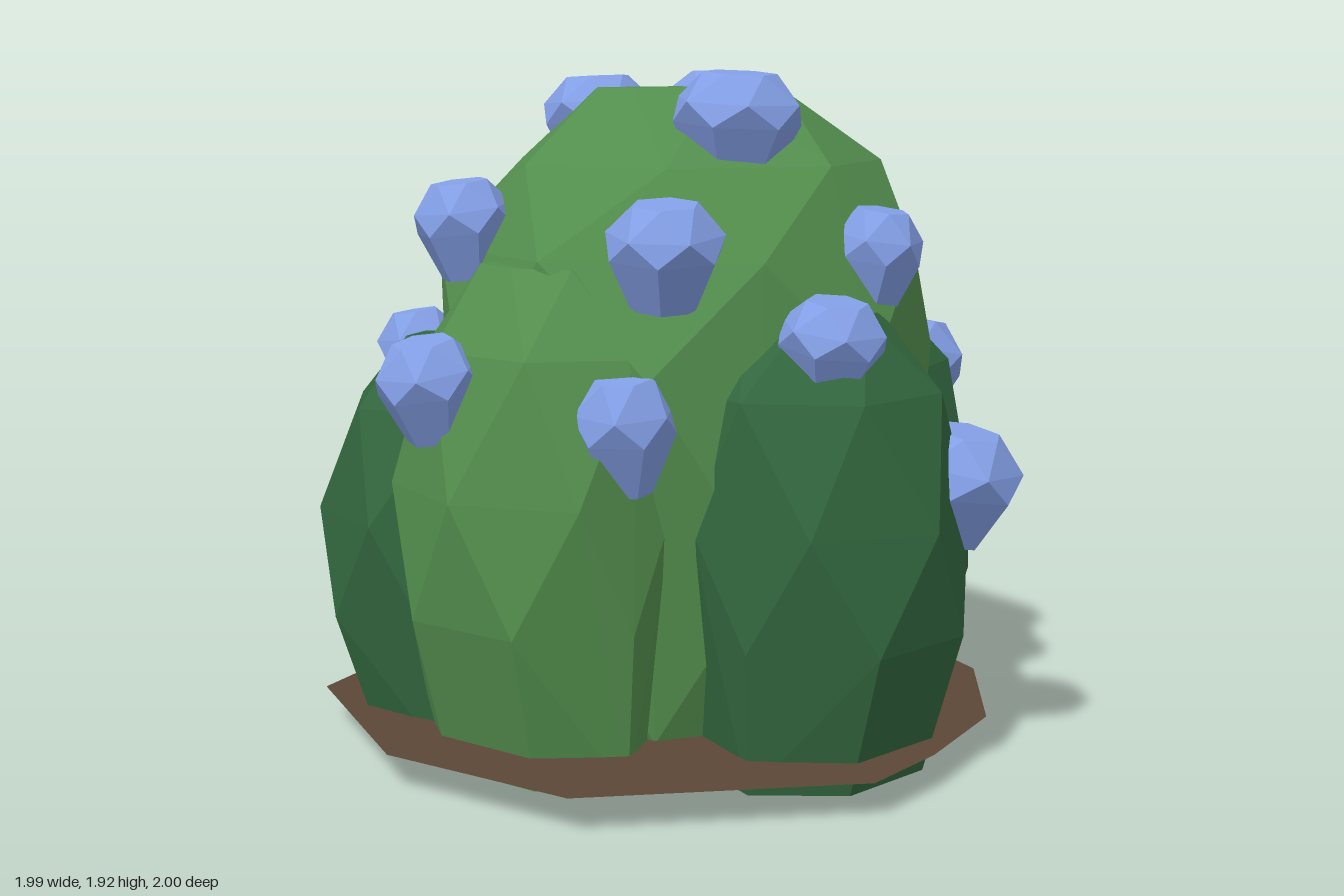
import * as THREE from 'three';
import { ConvexGeometry } from 'three/addons/geometries/ConvexGeometry.js';

const mat = (name, color) => {
  const m = new THREE.MeshStandardMaterial({ color });
  m.name = name;
  return m;
};

// Faceted solid from elliptical rings: [y, centreX, centreZ, radiusX, radiusZ, turn in steps]
function facetedSolid(rings, sides) {
  const points = [];
  for (const [y, cx, cz, rx, rz, turn] of rings) {
    for (let i = 0; i < sides; i++) {
      const a = ((i + turn) / sides) * Math.PI * 2;
      points.push(new THREE.Vector3(cx + rx * Math.cos(a), y, cz + rz * Math.sin(a)));
    }
  }
  return new ConvexGeometry(points);
}

// Side lobe growing along local +x: height, outer reach and half width
function lobeGeometry(h, reach, w) {
  const ring = (y, inner, outer, half, turn) => {
    const c = (inner + outer) / 2;
    const flat = turn ? 1.06 : 1;
    return [y, c, 0, (outer - inner) / 2 * flat, half, turn];
  };
  return facetedSolid([
    ring(0.004, 0.34, reach - 0.15, w * 0.84, 0.5),
    ring(0.32 * h, 0.24, reach - 0.03, w * 0.96, 0.5),
    ring(0.57 * h, 0.2, reach, w, 0),
    ring(0.84 * h, 0.22, reach - 0.11, w * 0.88, 0.5),
    ring(h, 0.34, reach - 0.26, w * 0.48, 0),
  ], 7);
}

export function createModel() {
  const model = new THREE.Group();
  model.name = 'berryBush';
  const lightLeaf = mat('light leaf green', 0x538e4d);
  const darkLeaf = mat('dark leaf green', 0x32673e);
  const berryBlue = mat('berry blue', 0x839fe6);
  const soil = mat('soil brown', 0x5c4736);

  const add = (name, geometry, material) => {
    const mesh = new THREE.Mesh(geometry, material);
    mesh.name = name;
    model.add(mesh);
    return mesh;
  };

  // Shallow soil plate with an irregular rim
  const rim = [
    [-0.42, 0.96], [0.38, 0.99], [0.6, 0.8], [0.85, 0.5], [0.97, 0.03], [0.86, -0.42], [0.8, -0.56],
    [0.64, -0.69], [0.2, -0.84], [-0.1, -0.84], [-0.32, -0.79], [-0.62, -0.64], [-0.99, -0.14], [-0.85, 0.53],
  ];
  const soilPoints = [new THREE.Vector3(0, 0.125, 0)];
  for (const [x, z] of rim) {
    soilPoints.push(new THREE.Vector3(x, 0.1, z), new THREE.Vector3(x * 0.56, 0, z * 0.56));
  }
  add('soil', new ConvexGeometry(soilPoints), soil);

  // Central dome
  add('dome', facetedSolid([
    [0.1, 0.05, 0.05, 0.56, 0.55, 0.1],
    [0.6, 0.06, 0.06, 0.68, 0.66, 0.6],
    [1.12, 0.06, 0.05, 0.73, 0.69, 0.1],
    [1.42, 0.06, 0.01, 0.7, 0.65, 0.6],
    [1.66, 0.1, -0.01, 0.55, 0.48, 0.1],
    [1.87, 0.1, -0.03, 0.28, 0.14, 0.6],
  ], 7), lightLeaf);

  // Five lobes around it: name, angle from +x towards +z, height, reach, half width, colour
  const lobes = [
    ['frontLeftLobe', 56, 1.27, 1.04, 0.42, darkLeaf],
    ['leftLobe', -14, 1.25, 1.01, 0.42, darkLeaf],
    ['backLobe', -76, 1.38, 0.94, 0.43, lightLeaf],
    ['rightLobe', 185, 1.16, 1.0, 0.4, darkLeaf],
    ['frontRightLobe', 138, 1.4, 0.92, 0.43, lightLeaf],
  ];
  for (const [name, angle, h, reach, w, material] of lobes) {
    add(name, lobeGeometry(h, reach, w), material).rotation.y = -angle * Math.PI / 180;
  }

  // Berries, narrow at the foot and leaning slightly outwards: x, y, z, half width, half height
  const berryGeometry = facetedSolid([
    [-1, 0, 0, 0.6, 0.6, 0],
    [0, 0, 0, 1, 1, 0],
    [0.45, 0, 0, 1, 1, 0.5],
    [1, 0, 0, 0.58, 0.58, 0],
  ], 6);
  const berries = [
    [0.15, 1.07, -0.82, 0.178, 0.16], [-0.65, 0.75, -0.48, 0.18, 0.16], [-0.68, 1.08, -0.26, 0.125, 0.13],
    [-0.71, 1.08, 0.45, 0.145, 0.135], [0.33, 1.2, 0.69, 0.145, 0.125], [-0.1, 1.44, 0.6, 0.16, 0.14],
    [0.52, 1.41, 0.44, 0.125, 0.135], [-0.22, 0.98, 0.65, 0.145, 0.155], [0.16, 1.775, 0.29, 0.18, 0.14],
    [-0.15, 1.765, -0.19, 0.165, 0.135], [0.22, 1.775, -0.19, 0.185, 0.135], [-0.58, 1.48, 0.12, 0.14, 0.135],
    [0.82, 1.0, -0.25, 0.175, 0.155], [0.72, 0.79, 0.56, 0.178, 0.155], [0.36, 1.43, -0.45, 0.155, 0.155],
    [-0.21, 1.18, -0.51, 0.13, 0.1],
  ];
  const up = new THREE.Vector3(0, 1, 0);
  berries.forEach(([x, y, z, w, h], i) => {
    const berry = add('berry', berryGeometry, berryBlue);
    berry.position.set(x, y, z);
    berry.scale.set(w, h, w);
    const lean = new THREE.Vector3(x * 0.22, 1, z * 0.22).normalize();
    berry.quaternion.setFromUnitVectors(up, lean);
    berry.rotateY(i * 1.3);
  });

  return model;
}
